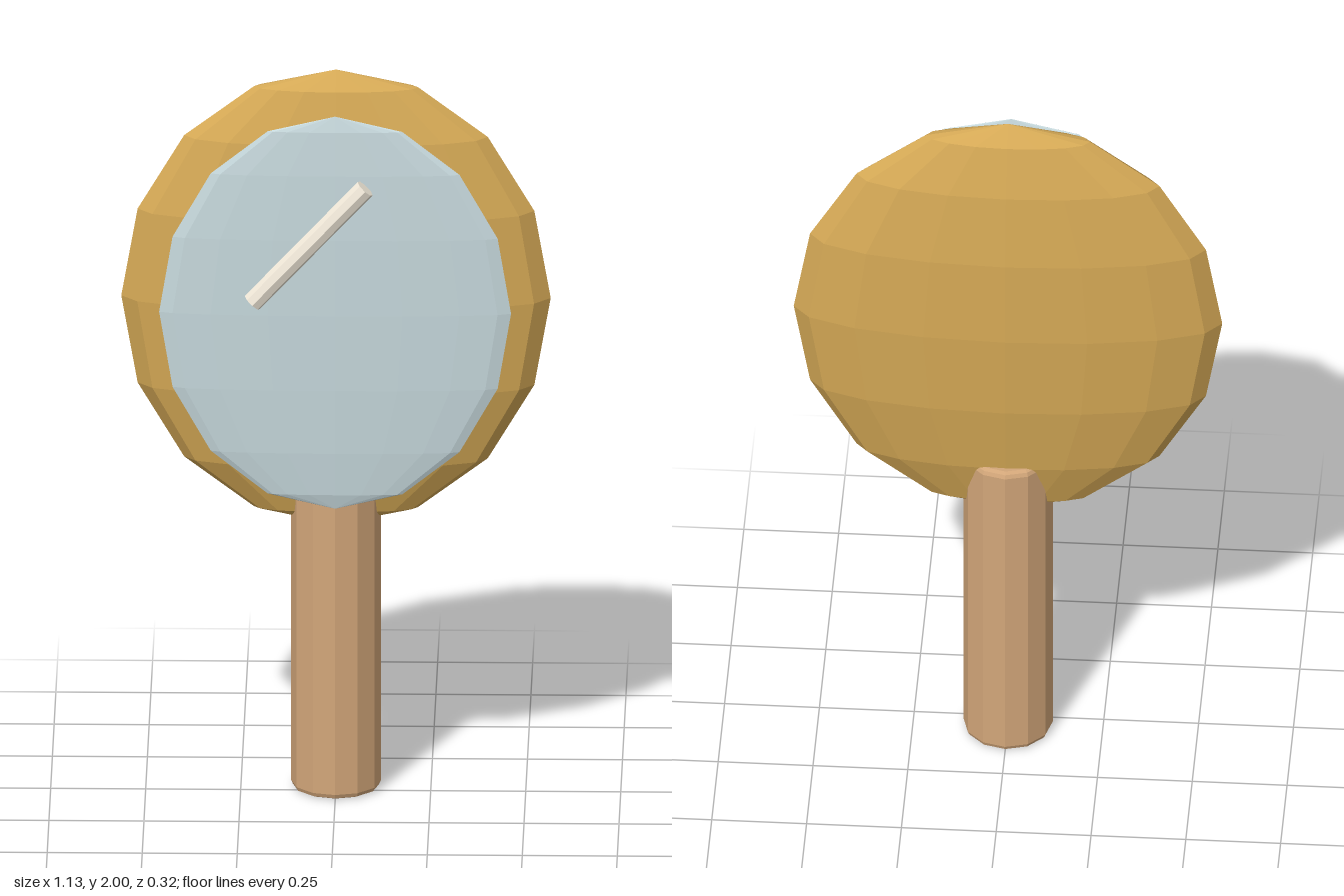
import * as THREE from 'three';

const flat = (color) => new THREE.MeshStandardMaterial({ color, flatShading: true });

function addMesh(group, name, geometry, color) {
  const mesh = new THREE.Mesh(geometry, flat(color));
  mesh.name = name;
  group.add(mesh);
  return mesh;
}

// Low-poly flattened disc with its poles at top and bottom
function disc(rx, ry, rz) {
  return new THREE.SphereGeometry(1, 16, 8).scale(rx, ry, rz);
}

export function createModel() {
  const group = new THREE.Group();
  group.name = 'handMirror';

  // Wooden-gold backing and the glass in front of it
  addMesh(group, 'frame', disc(0.565, 0.635, 0.121), 0xd4a855).position.set(0, 1.365, -0.04);
  addMesh(group, 'glass', disc(0.463, 0.548, 0.029), 0xc6d8dc).position.set(0, 1.367, 0.091);

  // Handle with softened rims
  const r = 0.118, h = 0.92, b = 0.015;
  const profile = [[0, 0], [r - b, 0], [r - b * 0.3, b * 0.3], [r, b],
    [r, h - b], [r - b * 0.3, h - b * 0.3], [r - b, h], [0, h]]
    .map(([x, y]) => new THREE.Vector2(x, y));
  addMesh(group, 'handle', new THREE.LatheGeometry(profile, 12), 0xd2a679).position.z = -0.037;

  // Slanted highlight bar on the glass
  const start = new THREE.Vector3(-0.217, 1.41, 0.135);
  const end = new THREE.Vector3(0.08, 1.73, 0.135);
  const axis = end.clone().sub(start);
  const bar = addMesh(group, 'highlightBar',
    new THREE.CylinderGeometry(0.027, 0.027, axis.length(), 8), 0xf0e8d8);
  bar.position.copy(start).add(end).multiplyScalar(0.5);
  bar.quaternion.setFromUnitVectors(new THREE.Vector3(0, 1, 0), axis.normalize());

  return group;
}
